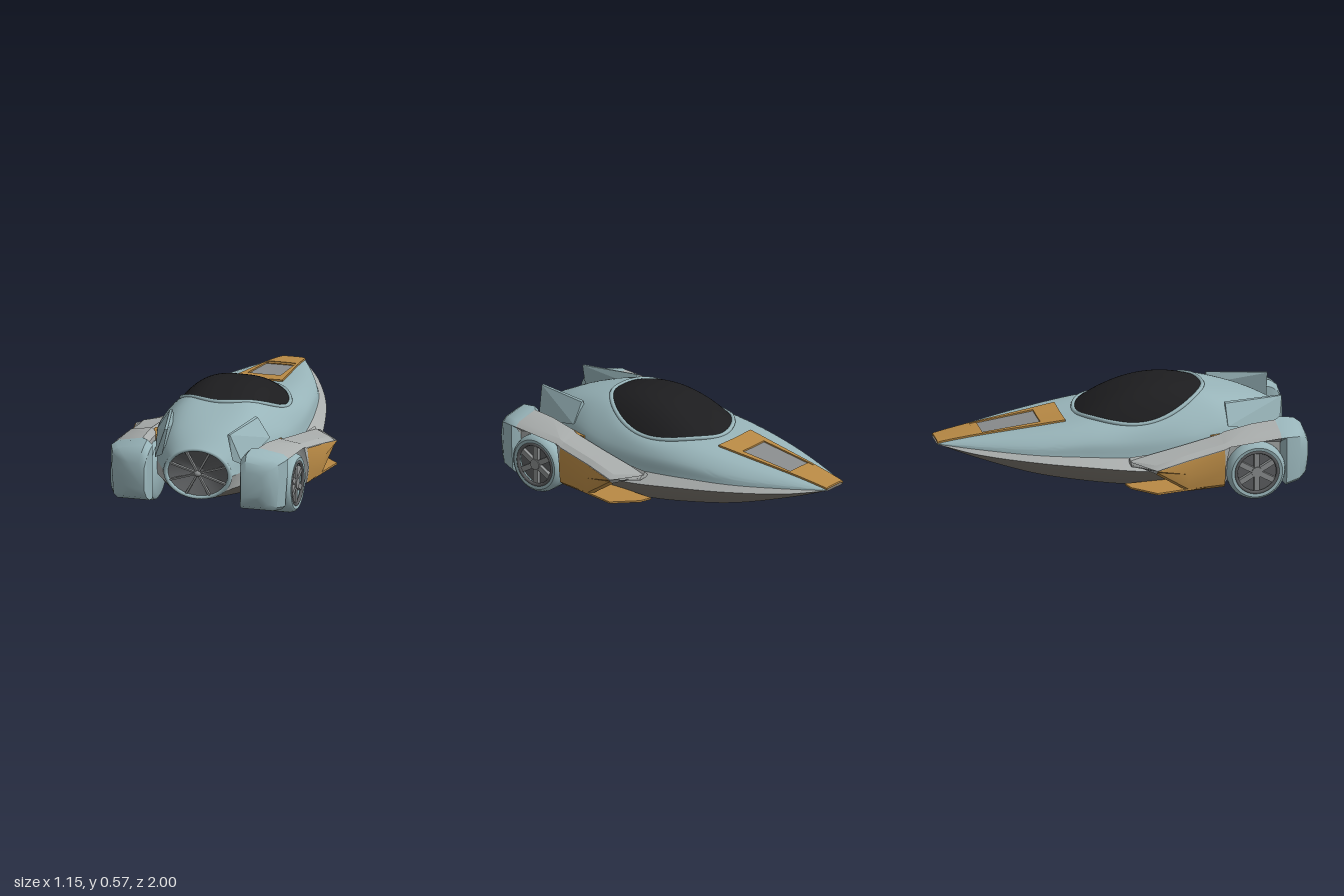
import * as THREE from 'three';
import { toCreasedNormals } from 'three/addons/utils/BufferGeometryUtils.js';
import { ConvexGeometry } from 'three/addons/geometries/ConvexGeometry.js';
import { ParametricGeometry } from 'three/addons/geometries/ParametricGeometry.js';

const V = (x, y, z) => new THREE.Vector3(x, y, z);
const mat = (color) => new THREE.MeshStandardMaterial({ color, side: THREE.DoubleSide });
const BLUE = mat(0x98b4b9), PALE = mat(0xa9adac), ORANGE = mat(0xb98a45), BELLY = mat(0x7d7870);
const DARK = mat(0x1d1d1f), STEEL = mat(0x5c5e60), SPOKE = mat(0x8a8d8e);

// Hull upper: z, edge x y, flank x y, shoulder x y, crown y
const UPPER = [
  [-1, .07, .305, .07, .308, .06, .312, .314],
  [-.8, .17, .295, .165, .31, .13, .335, .345],
  [-.5, .29, .28, .275, .32, .2, .37, .38],
  [-.2, .35, .265, .33, .34, .24, .405, .415],
  [.05, .375, .25, .355, .34, .29, .41, .44],
  [.25, .385, .25, .36, .35, .275, .45, .51],
  [.4, .38, .25, .35, .36, .2, .51, .535],
  [.55, .35, .26, .31, .38, .2, .485, .51],
  [.75, .27, .25, .25, .34, .17, .42, .45],
  [.9, .19, .235, .15, .324, .09, .363, .38],
];
// Hull lower: z, edge x y, chine x y, bilge x y, keel y
const LOWER = [
  [-1, .07, .305, .07, .303, .05, .3, .3],
  [-.8, .17, .295, .2, .275, .13, .235, .215],
  [-.5, .29, .28, .33, .25, .24, .16, .13],
  [-.2, .35, .265, .41, .225, .3, .11, .075],
  [.05, .375, .25, .45, .2, .34, .085, .05],
  [.25, .385, .25, .44, .18, .34, .08, .045],
  [.4, .38, .25, .42, .17, .34, .085, .045],
  [.55, .35, .26, .36, .17, .29, .1, .055],
  [.75, .27, .25, .27, .17, .2, .1, .08],
  [.9, .19, .235, .15, .146, .09, .107, .09],
];
// Fender: z, inner x, outer-top x, inner-top y, outer-top y, side x, side y, bottom y
const FENDER = [
  [0, .38, .45, .27, .245, .45, .24, .235],
  [.12, .37, .56, .275, .25, .57, .24, .21],
  [.3, .36, .53, .31, .285, .545, .2, .09],
  [.51, .34, .51, .35, .325, .52, .2, .09],
  [.54, .33, .505, .36, .335, .455, .31, .1],
  [.7, .31, .503, .385, .35, .455, .325, .1],
  [.83, .3, .5, .393, .36, .455, .31, .09],
  [.86, .265, .5, .395, .363, .5, .25, .06],
  [.94, .26, .47, .385, .352, .475, .25, .075],
  [.98, .265, .43, .355, .33, .44, .24, .1],
  [1, .275, .39, .3, .29, .4, .22, .15],
];

// Smooth interpolation of a section table at z
function sectionAt(rows, z) {
  let i = 0;
  while (i < rows.length - 2 && z > rows[i + 1][0]) i++;
  const a = rows[i], b = rows[i + 1], h = b[0] - a[0], s = (z - a[0]) / h;
  const slope = (k, j) => {
    const p = rows[Math.max(k - 1, 0)], q = rows[Math.min(k + 1, rows.length - 1)];
    return (q[j] - p[j]) / (q[0] - p[0]) * h;
  };
  return a.map((v, j) => j === 0 ? z
    : v * (2 * s ** 3 - 3 * s * s + 1) + slope(i, j) * (s ** 3 - 2 * s * s + s)
    + b[j] * (3 * s * s - 2 * s ** 3) + slope(i + 1, j) * (s ** 3 - s * s));
}

function hullSection(rows, z) {
  const [, a, b, c, d, e, f, g] = sectionAt(rows, z);
  return [V(-a, b, z), V(-c, d, z), V(-e, f, z), V(0, g, z), V(e, f, z), V(c, d, z), V(a, b, z)];
}
const upperSection = (z) => new THREE.CatmullRomCurve3(hullSection(UPPER, z)).getPoints(36);

// Skin a list of cross-sections
function loft(sections, closed = false, crease = .5) {
  const n = sections[0].length, index = [];
  for (let i = 0; i < sections.length - 1; i++)
    for (let j = 0; j < (closed ? n : n - 1); j++) {
      const a = i * n + j, b = i * n + (j + 1) % n;
      index.push(a, a + n, b, b, a + n, b + n);
    }
  if (closed) for (let j = 1; j < n - 1; j++) {
    const e = (sections.length - 1) * n;
    index.push(0, j, j + 1, e, e + j + 1, e + j);
  }
  const geo = new THREE.BufferGeometry().setFromPoints(sections.flat());
  geo.setIndex(index);
  return toCreasedNormals(geo, crease);
}

const yAlong = (pts, x) => {
  const i = Math.max(1, pts.findIndex((p) => p.x >= x)), a = pts[i - 1], b = pts[i];
  return a.y + (b.y - a.y) * (x - a.x) / (b.x - a.x || 1);
};
const deckY = (x, z) => yAlong(upperSection(z), x);
const bellyY = (x, z) => yAlong(hullSection(LOWER, z).slice(1, 6), x);

// Raised panel that follows a surface, with its border turned down onto it
function panel(height, x0, x1, z0, z1, lift, n = 16) {
  const steps = [0, ...Array.from({ length: n + 1 }, (_, i) => i / n), 1];
  return loft(steps.map((v, i) => steps.map((u, j) => {
    const z = z0 + (z1 - z0) * v, x = x0(z) + (x1(z) - x0(z)) * u;
    const border = i === 0 || j === 0 || i === n + 2 || j === n + 2;
    return V(x, height(x, z) + (border ? 0 : lift), z);
  })));
}

function canopyPoint(r, angle) {
  const u = r * Math.cos(angle), t = r * Math.sin(angle);
  return V(.29 * u, .47 + .055 * t + .097 * (1 - t * t) - .147 * Math.abs(u) ** 3, .135 + .355 * t);
}

function add(parent, name, geo, material) {
  const m = new THREE.Mesh(geo, material);
  m.name = name;
  parent.add(m);
  return m;
}

// Everything on one side: fender, winglet, fin, wheel
function createSide(name) {
  const g = new THREE.Group();
  g.name = name;
  const ring = ([z, xi, xo, yi, yo, xm, ym, yb]) => [V(xi, yb, z), V(xi, yi - .03, z), V(xi + .03, yi, z),
    V(xo - .03, yo + .008, z), V(xo, yo - .015, z), V(xm, ym, z), V(xm - .012, yb + .02, z), V(xm - .035, yb, z)];
  add(g, 'sponson', loft(FENDER.slice(0, 7).map(ring), true), PALE);
  add(g, 'rearFender', loft(FENDER.slice(6).map(ring), true, .7), BLUE);
  add(g, 'sidePanel', loft(FENDER.slice(1, 4).map((r) => ring(r).slice(4).map((p) => p.add(V(.004, -.002, 0))))), ORANGE);

  const plate = new THREE.Shape([[.38, -.02], [.45, 0], [.57, .12], [.52, .4], [.36, .4]].map(([x, z]) => new THREE.Vector2(x, z)));
  add(g, 'winglet', new THREE.ExtrudeGeometry(plate, { depth: .01, bevelEnabled: false }).rotateX(Math.PI / 2).translate(0, .11, 0), ORANGE);
  add(g, 'intakeBulkhead', new THREE.BoxGeometry(.14, .19, .13).translate(.29, .245, .53), ORANGE);
  add(g, 'fin', new ConvexGeometry([V(.17, .475, .9), V(.185, .475, .9), V(.235, .485, .57), V(.25, .48, .57),
    V(.32, .37, .57), V(.25, .3, .87), V(.2, .33, .9), V(.22, .42, .57)]), BLUE);

  const wheel = new THREE.Group();
  wheel.name = 'wheel';
  wheel.position.set(0, .163, .69);
  g.add(wheel);
  const profile = [[0, .27], [.13, .27], [.155, .285], [.163, .31], [.163, .48], [.155, .503], [.142, .513], [.125, .51], [.12, .475], [0, .475]];
  add(wheel, 'tyre', toCreasedNormals(new THREE.LatheGeometry(profile.map(([r, x]) => new THREE.Vector2(r, x)), 40), .6).rotateZ(-Math.PI / 2), BLUE);
  add(wheel, 'wheelDisc', new THREE.CylinderGeometry(.118, .118, .01, 32).rotateZ(Math.PI / 2).translate(.475, 0, 0), STEEL);
  add(wheel, 'rim', new THREE.TorusGeometry(.117, .01, 8, 36).rotateY(Math.PI / 2).translate(.505, 0, 0), STEEL);
  add(wheel, 'hub', new THREE.CylinderGeometry(.03, .03, .04, 16).rotateZ(Math.PI / 2).translate(.492, 0, 0), SPOKE);
  for (let i = 0; i < 6; i++)
    add(wheel, 'wheelSpoke', new THREE.BoxGeometry(.022, .1, .03).translate(.495, .065, 0).rotateX(i * Math.PI / 3), SPOKE);
  return g;
}

export function createModel() {
  const model = new THREE.Group();
  model.name = 'racer';
  const zs = Array.from({ length: 58 }, (_, i) => -1 + 1.9 * i / 57);
  add(model, 'upperHull', loft(zs.map(upperSection)), BLUE);
  const low = zs.map((z) => hullSection(LOWER, z));
  add(model, 'chineRight', loft(low.map((s) => s.slice(0, 2))), PALE);
  add(model, 'chineLeft', loft(low.map((s) => s.slice(5))), PALE);
  add(model, 'belly', loft(low.map((s) => s.slice(1, 6)), false, .8), BELLY);
  const oval = (z) => .075 * Math.max(0, 1 - Math.abs((z + .27) / .48) ** 3) ** .5;
  add(model, 'bellyPan', panel(bellyY, (z) => -oval(z), oval, -.75, .21, -.008, 24), BELLY);

  // Nose stripe framing a sunken vent
  const outer = (z) => .07 + (z + 1) * .1, inner = (z) => .078 + (z + .8) * .04;
  const neg = (f) => (z) => -f(z);
  add(model, 'noseStripe', panel(deckY, neg(outer), outer, -1, -.79, .01), ORANGE);
  add(model, 'noseStripe', panel(deckY, neg(outer), outer, -.43, -.3, .01), ORANGE);
  add(model, 'noseStripe', panel(deckY, neg(outer), neg(inner), -.79, -.43, .01), ORANGE);
  add(model, 'noseStripe', panel(deckY, inner, outer, -.79, -.43, .01), ORANGE);
  add(model, 'ventSill', panel(deckY, neg(inner), inner, -.79, -.75, .007), ORANGE);
  add(model, 'ventFloor', panel(deckY, neg(inner), inner, -.75, -.43, .002), SPOKE);

  // Canopy and its rim
  add(model, 'canopy', new ParametricGeometry((u, v, p) => p.copy(canopyPoint(u, -v * Math.PI * 2)), 16, 48), DARK);
  const rim = Array.from({ length: 40 }, (_, i) => canopyPoint(1.005, i * Math.PI / 20));
  add(model, 'canopyRim', new THREE.TubeGeometry(new THREE.CatmullRomCurve3(rim, true), 80, .012, 8, true), BLUE);

  // Engine outlet with spoked grille
  const engine = new THREE.Group();
  engine.name = 'engine';
  engine.position.set(0, .235, .89);
  engine.scale.y = .75;
  model.add(engine);
  add(engine, 'engineRing', new THREE.TorusGeometry(.182, .013, 10, 48), BLUE);
  add(engine, 'engineDish', new THREE.LatheGeometry([[0, -.09], [.1, -.05], [.178, 0]].map(([r, y]) => new THREE.Vector2(r, y)), 40).rotateX(Math.PI / 2), STEEL);
  add(engine, 'engineHub', new THREE.SphereGeometry(.022, 16, 12), SPOKE);
  for (let i = 0; i < 8; i++)
    add(engine, 'engineSpoke', new THREE.BoxGeometry(.012, .172, .02).translate(0, .09, -.004).rotateZ((i + .5) * Math.PI / 4), SPOKE);

  const right = createSide('rightSide');
  right.scale.x = -1;
  model.add(createSide('leftSide'), right);
  return model;
}
